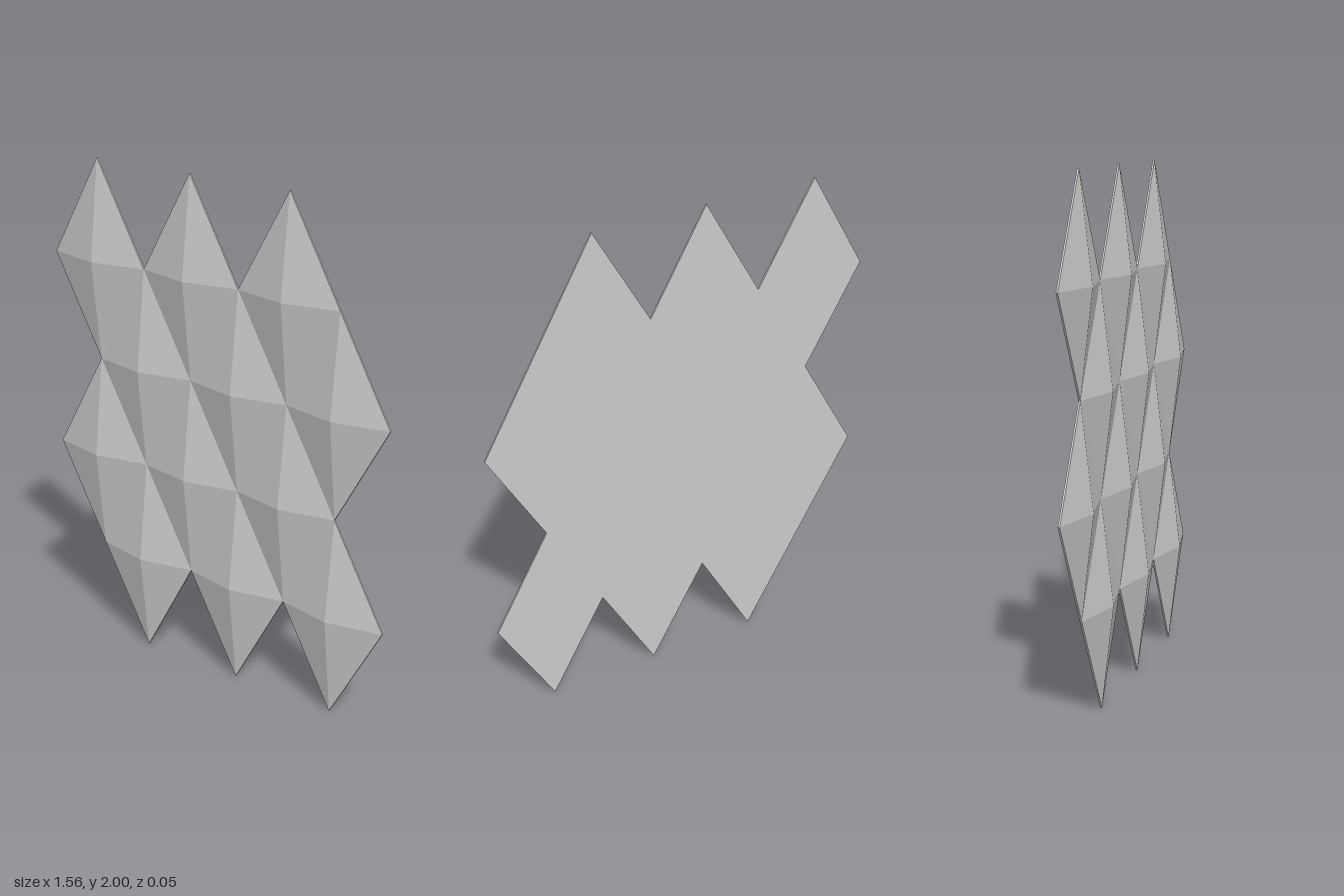
import * as THREE from 'three';

const W = 0.2233, H = 0.4;            // half width and half height of one diamond
const BACK = -0.027, RIM = -0.02, PEAK = 0.027;

export function createModel() {
  const group = new THREE.Group();
  group.name = 'diamondTilePanel';
  const material = new THREE.MeshStandardMaterial({ color: 0xcccccc, flatShading: true });

  // thin backing plate with the zigzag outline, in half-diamond steps
  const outline = [
    [-3.5, 4], [-2.5, 3], [-3.5, 2], [-2.5, 1], [-1.5, 0], [-0.5, 1], [0.5, 0], [1.5, 1], [2.5, 0],
    [3.5, 1], [2.5, 2], [3.5, 3], [2.5, 4], [1.5, 5], [0.5, 4], [-0.5, 5], [-1.5, 4], [-2.5, 5],
  ].map(([x, y]) => new THREE.Vector2(x * W, y * H));
  const plate = new THREE.Mesh(
    new THREE.ExtrudeGeometry(new THREE.Shape(outline), { depth: RIM - BACK, bevelEnabled: false }),
    material
  );
  plate.name = 'backingPlate';
  plate.position.z = BACK;
  group.add(plate);

  // shallow four-sided pyramid on each diamond, its tip towards +z
  const tile = new THREE.ConeGeometry(1, 1, 4, 1, true)
    .translate(0, 0.5, 0)
    .rotateX(Math.PI / 2)
    .scale(W, H, PEAK - RIM);

  // four staggered rows of three
  for (let row = 1; row <= 4; row++) {
    const shift = row % 2 ? 0.5 : -0.5;
    for (let col = -1; col <= 1; col++) {
      const mesh = new THREE.Mesh(tile, material);
      mesh.name = `diamondTile_${row}_${col + 2}`;
      mesh.position.set((col * 2 + shift) * W, row * H, RIM);
      group.add(mesh);
    }
  }
  return group;
}
